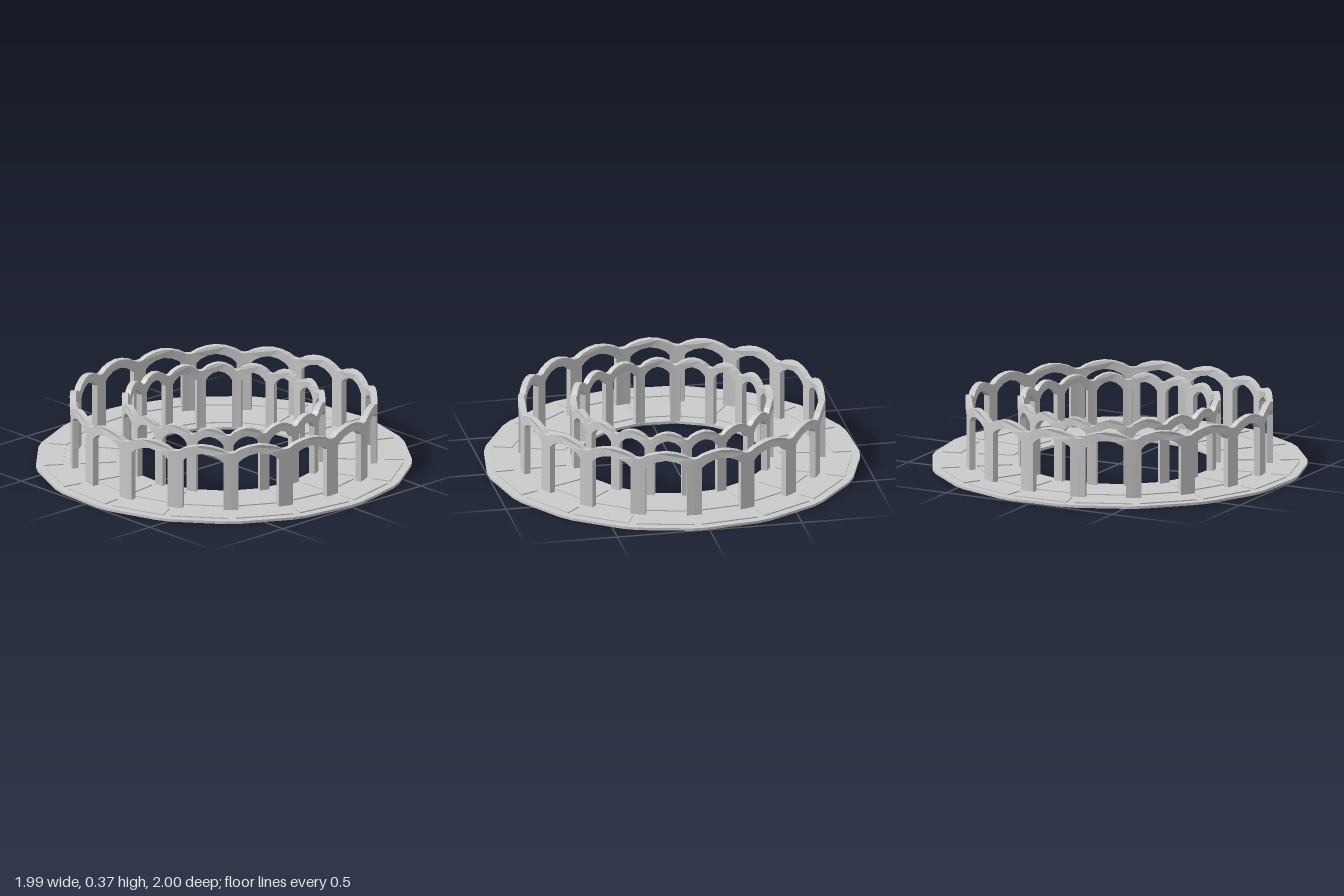
import * as THREE from 'three';

const BAYS = 17;
const STEP = (Math.PI * 2) / BAYS;
const FIRST_PIER = THREE.MathUtils.degToRad(7.5); // measured from +z towards +x
const FLOOR = 0.014;

const material = new THREE.MeshStandardMaterial({ color: 0xcccccc, flatShading: true });

function addMesh(parent, name, geometry) {
  const mesh = new THREE.Mesh(geometry, material);
  mesh.name = name;
  parent.add(mesh);
  return mesh;
}

// Horizontal slab from an outline in (x, z), with its top at the given height
function slab(shape, top, thickness) {
  const geometry = new THREE.ExtrudeGeometry(shape, { depth: thickness, bevelEnabled: false });
  geometry.rotateX(Math.PI / 2);
  geometry.translate(0, top, 0);
  return geometry;
}

// Ring outline points, each corner cut by a small angle
function ringPoints(radius, cut) {
  const points = [];
  for (let i = 0; i < BAYS; i++) {
    for (const side of [1, -1]) {
      const a = FIRST_PIER - i * STEP + side * cut;
      points.push(new THREE.Vector2(Math.sin(a) * radius, Math.cos(a) * radius));
    }
  }
  return points;
}

// One arched bay, drawn flat and then bent round the axis
function archBay(inner, outer, pierWidth) {
  const mid = (inner + outer) / 2;
  const half = (STEP * mid) / 2;
  const open = half - pierWidth / 2;
  const top = [[1, 0.332], [0.88, 0.334], [0.68, 0.351], [0.35, 0.366], [0, 0.372]];
  const arch = [[1, 0.28], [0.8, 0.3], [0.45, 0.318], [0, 0.327]];
  const mirror = (list) => list.slice(0, -1).reverse().map(([x, y]) => [-x, y]);
  const outline = [
    [-half, 0.006],
    [-open, 0.006],
    ...[...arch, ...mirror(arch)].map(([x, y]) => [-x * open, y]),
    [open, 0.006],
    [half, 0.006],
    ...[...top, ...mirror(top)].map(([x, y]) => [x * half, y]),
  ];
  const shape = new THREE.Shape(outline.map(([x, y]) => new THREE.Vector2(x, y)));
  const geometry = new THREE.ExtrudeGeometry(shape, { depth: outer - inner, bevelEnabled: false });
  const p = geometry.attributes.position;
  for (let i = 0; i < p.count; i++) {
    const a = p.getX(i) / mid;
    const r = inner + p.getZ(i);
    p.setXYZ(i, Math.sin(a) * r, p.getY(i), Math.cos(a) * r);
  }
  geometry.computeVertexNormals();
  return geometry;
}

// Raised paving panel that fills a bay between two radii
function panel(inner, outer, gap) {
  const t = Math.tan(STEP / 2);
  const a = inner * t - gap;
  const b = outer * t - gap;
  const shape = new THREE.Shape([
    new THREE.Vector2(-a, inner),
    new THREE.Vector2(a, inner),
    new THREE.Vector2(b, outer),
    new THREE.Vector2(-b, outer),
  ]);
  return slab(shape, 0.02, 0.01);
}

// Repeat one geometry in every bay
function repeatBays(parent, groupName, partName, geometry) {
  const group = new THREE.Group();
  group.name = groupName;
  for (let i = 0; i < BAYS; i++) {
    addMesh(group, partName, geometry).rotation.y = FIRST_PIER + (i - 0.5) * STEP;
  }
  parent.add(group);
}

export function createModel() {
  const model = new THREE.Group();
  model.name = 'circularArcade';

  // Ring-shaped floor
  const floor = new THREE.Shape(ringPoints(1, 0.04));
  floor.holes.push(new THREE.Path(ringPoints(0.505, 0.04).reverse()));
  addMesh(model, 'floor', slab(floor, FLOOR, FLOOR));

  // Paving
  repeatBays(model, 'outerPaving', 'outerPanel', panel(0.845, 0.945, 0.02));
  repeatBays(model, 'innerPaving', 'innerPanel', panel(0.565, 0.755, 0.02));

  // Two rings of arches
  repeatBays(model, 'outerArcade', 'outerArch', archBay(0.783, 0.816, 0.08));
  repeatBays(model, 'innerArcade', 'innerArch', archBay(0.508, 0.54, 0.052));

  return model;
}
